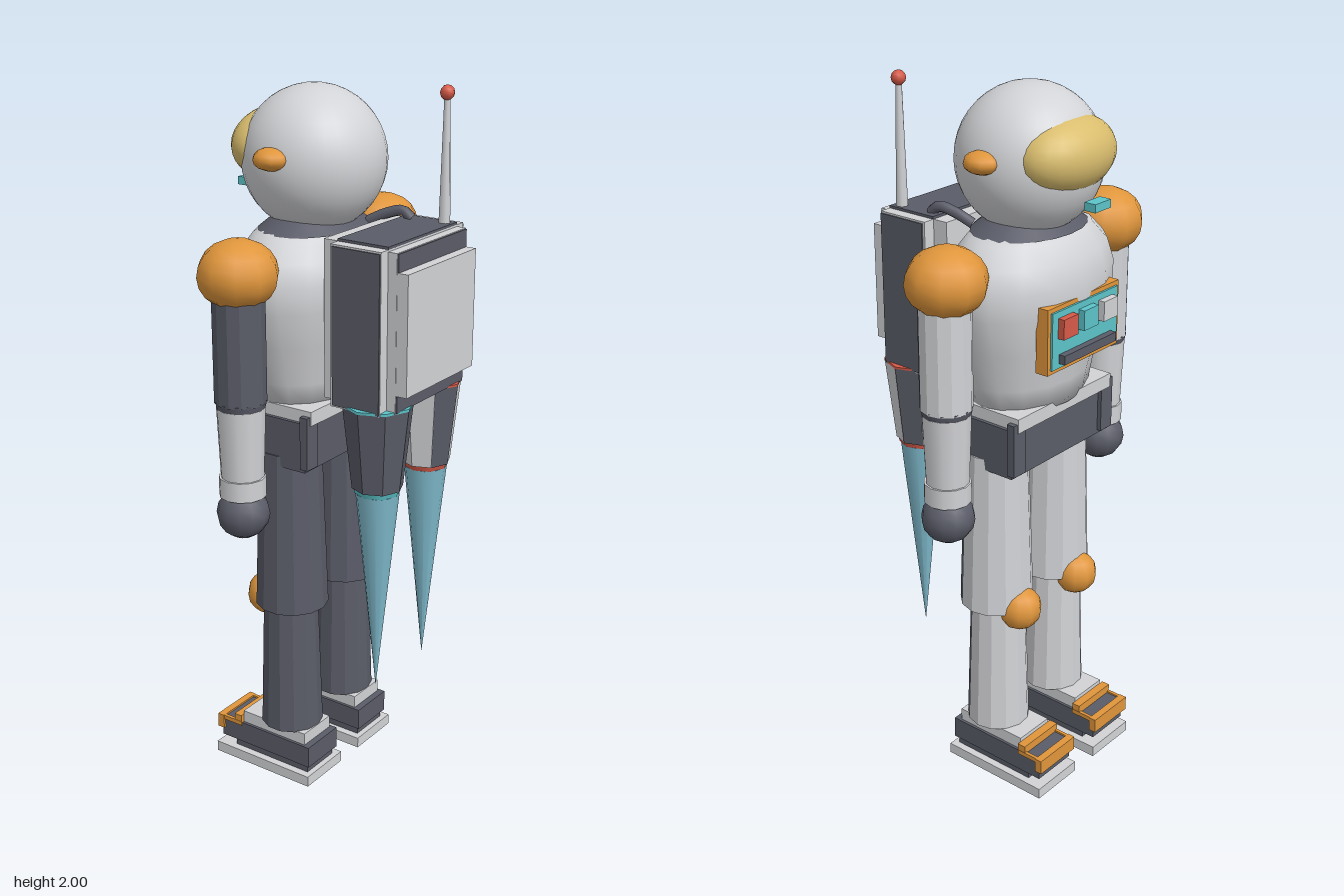
import * as THREE from 'three';

const mat = (name, color, extra = {}) => {
  const m = new THREE.MeshStandardMaterial({ color, ...extra });
  m.name = name;
  return m;
};

export function createModel() {
  const light = mat('light grey', 0xd2d3d6);
  const dark = mat('dark grey', 0x5a5c68);
  const orange = mat('orange', 0xe0963c);
  const teal = mat('teal', 0x5cc4ca);
  const red = mat('red', 0xd65a48);
  const gold = mat('visor gold', 0xd9bd6e);
  const flame = mat('flame blue', 0x7fb9cb);
  const flat = new Map([light, dark].map((m) => {
    const f = m.clone();
    f.flatShading = true;
    return [m, f];
  }));

  const model = new THREE.Group();
  model.name = 'astronaut';

  const add = (name, geo, material, x = 0, y = 0, z = 0, parent = model) => {
    const m = new THREE.Mesh(geo, material);
    m.name = name;
    m.position.set(x, y, z);
    parent.add(m);
    return m;
  };
  // Box given by its limits on each axis
  const box = (name, material, x0, x1, y0, y1, z0, z1) =>
    add(name, new THREE.BoxGeometry(x1 - x0, y1 - y0, z1 - z0), material,
      (x0 + x1) / 2, (y0 + y1) / 2, (z0 + z1) / 2);
  const ball = (name, material, x, y, z, rx, ry, rz, seg = 10, rings = 8) =>
    add(name, new THREE.SphereGeometry(1, seg, rings).scale(rx, ry, rz), material, x, y, z);
  const tube = (name, material, x, z, y0, y1, r0, r1, seg = 12) =>
    add(name, new THREE.CylinderGeometry(r1, r0, y1 - y0, seg), material, x, (y0 + y1) / 2, z);
  // Faceted limb, dark over one part of its turn and light over the rest
  const limb = (name, x, z, y0, y1, r0, r1) => {
    const a = THREE.MathUtils.degToRad(-132), span = THREE.MathUtils.degToRad(192);
    const h = y1 - y0, y = (y0 + y1) / 2;
    add(name + 'Dark', new THREE.CylinderGeometry(r1, r0, h, 7, 1, false, a, span), flat.get(dark), x, y, z);
    add(name + 'Light', new THREE.CylinderGeometry(r1, r0, h, 6, 1, false, a + span, 2 * Math.PI - span),
      flat.get(light), x, y, z);
  };

  // Helmet, visor, ear caps and chin light
  const Z = -0.085;
  ball('helmet', light, 0, 1.795, Z, 0.195, 0.195, 0.195, 32, 20);
  ball('visor', gold, 0, 1.825, -0.2, 0.16, 0.1, 0.107, 24, 16);
  for (const s of [-1, 1]) ball('earCap', orange, s * 0.187, 1.82, Z, 0.048, 0.03, 0.05);
  box('chinLight', teal, -0.032, 0.032, 1.7, 1.722, -0.32, -0.285);

  // Torso and collar
  const profile = [[0, 1.15], [0.195, 1.15], [0.21, 1.22], [0.245, 1.33], [0.27, 1.43], [0.272, 1.5],
    [0.25, 1.56], [0.2, 1.61], [0.14, 1.635], [0, 1.64]].map((p) => new THREE.Vector2(...p));
  add('torso', new THREE.LatheGeometry(profile, 16).scale(1, 1, 0.67), light, 0, 0, -0.09);
  add('collar', new THREE.CylinderGeometry(0.125, 0.18, 0.035, 20).scale(1, 1, 0.75), dark, 0, 1.635, -0.085);

  // Belt with hinges
  box('beltTop', light, -0.2, 0.2, 1.125, 1.165, -0.215, 0.045);
  box('belt', dark, -0.21, 0.21, 0.99, 1.13, -0.2, 0.03);
  for (const sx of [-1, 1]) for (const z of [-0.2, 0.03])
    box('beltHinge', dark, sx * 0.19 - 0.025, sx * 0.19 + 0.025, 1.0, 1.15, z - 0.012, z + 0.012);

  // Chest control panel
  box('panelFrame', orange, -0.15, 0.15, 1.285, 1.465, -0.268, -0.23);
  box('panelFace', teal, -0.138, 0.138, 1.297, 1.453, -0.274, -0.24);
  [red, teal, light].forEach((m, i) => {
    const x = 0.085 - i * 0.085;
    box('panelButton', m, x - 0.03, x + 0.03, 1.38, 1.435, -0.293, -0.27);
  });
  box('panelSlot', dark, -0.11, 0.11, 1.31, 1.335, -0.293, -0.27);

  // Backpack in layers
  box('packInner', light, -0.16, 0.16, 1.2, 1.63, 0.06, 0.105);
  box('packCore', light, -0.195, 0.195, 1.195, 1.63, 0.105, 0.26);
  box('packTop', dark, -0.162, 0.162, 1.629, 1.637, 0.105, 0.26);
  for (const s of [-1, 1]) box('packSide', dark, s * 0.196 - 0.003, s * 0.196 + 0.003, 1.2, 1.625, 0.112, 0.258);
  box('packRear', light, -0.164, 0.164, 1.2, 1.625, 0.26, 0.287);
  box('packRearFace', dark, -0.162, 0.162, 1.202, 1.623, 0.283, 0.291);
  box('packPanel', light, -0.163, 0.163, 1.25, 1.575, 0.287, 0.32);

  // Air hose and antenna
  const hose = new THREE.CatmullRomCurve3([[0.13, 1.635, 0.14], [0.127, 1.655, 0.115], [0.115, 1.645, 0.07],
    [0.1, 1.62, 0.02]].map((p) => new THREE.Vector3(...p)));
  add('airHose', new THREE.TubeGeometry(hose, 10, 0.015, 8), dark);
  tube('antenna', light, 0.14, 0.235, 1.63, 1.975, 0.016, 0.008, 8);
  ball('antennaTip', red, 0.14, 1.975, 0.235, 0.02, 0.02, 0.02, 8, 6);

  // Thrusters and flames
  for (const s of [-1, 1]) {
    const x = s * 0.12, z = 0.205, accent = s < 0 ? teal : red;
    tube('thruster', flat.get(s < 0 ? dark : light), x, z, 0.965, 1.2, 0.07, 0.096, 8);
    tube('thrusterCap', accent, x, z, 1.198, 1.205, 0.097, 0.097, 8);
    tube('thrusterRim', accent, x, z, 0.95, 0.966, 0.062, 0.066, 8);
    const f = add('flame', new THREE.ConeGeometry(0.06, 0.595, 12), flame, x, 0.6525, z);
    f.rotation.x = Math.PI;
  }
  // Dark stripes down the light thruster
  for (const a of [-45, 90]) {
    const stripe = new THREE.CylinderGeometry(0.098, 0.072, 0.234, 1, 1, true,
      THREE.MathUtils.degToRad(a), Math.PI / 4);
    add('thrusterStripe', stripe, flat.get(dark), 0.12, 1.0825, 0.205);
  }

  for (const s of [-1, 1]) {
    // Arm
    const ax = s * 0.333;
    ball('shoulder', orange, s * 0.328, 1.55, -0.088, 0.11, 0.092, 0.107, 10, 10);
    limb('upperArm', ax, Z, 1.21, 1.5, 0.07, 0.07);
    tube('elbowRing', dark, ax, Z, 1.19, 1.215, 0.064, 0.07);
    tube('forearm', light, ax, Z, 0.99, 1.195, 0.058, 0.066);
    tube('cuff', light, ax, Z, 0.945, 1.0, 0.064, 0.064);
    ball('glove', dark, ax, 0.892, Z, 0.073, 0.07, 0.073, 12, 8);

    // Leg
    const lx = s * 0.128;
    limb('thigh', lx, -0.08, 0.545, 1.02, 0.104, 0.088);
    limb('shin', lx, Z, 0.155, 0.56, 0.09, 0.078);
    ball('kneePad', orange, lx, 0.545, -0.163, 0.063, 0.063, 0.063);

    // Boot
    box('sole', light, lx - 0.084, lx + 0.084, 0, 0.032, -0.307, 0.032);
    box('bootBase', dark, lx - 0.062, lx + 0.062, 0.03, 0.06, -0.25, 0.015);
    box('boot', dark, lx - 0.07, lx + 0.07, 0.055, 0.12, -0.295, 0.025);
    box('ankle', light, lx - 0.062, lx + 0.062, 0.115, 0.157, -0.22, 0.005);
    box('toeTrim', orange, lx - 0.077, lx + 0.077, 0.082, 0.125, -0.307, -0.285);
    box('toeStrap', orange, lx - 0.074, lx + 0.074, 0.115, 0.145, -0.245, -0.22);
    for (const e of [-1, 1])
      box('bootSideTrim', orange, lx + e * 0.07 - 0.005, lx + e * 0.07 + 0.005, 0.112, 0.125, -0.295, -0.22);
  }
  return model;
}
